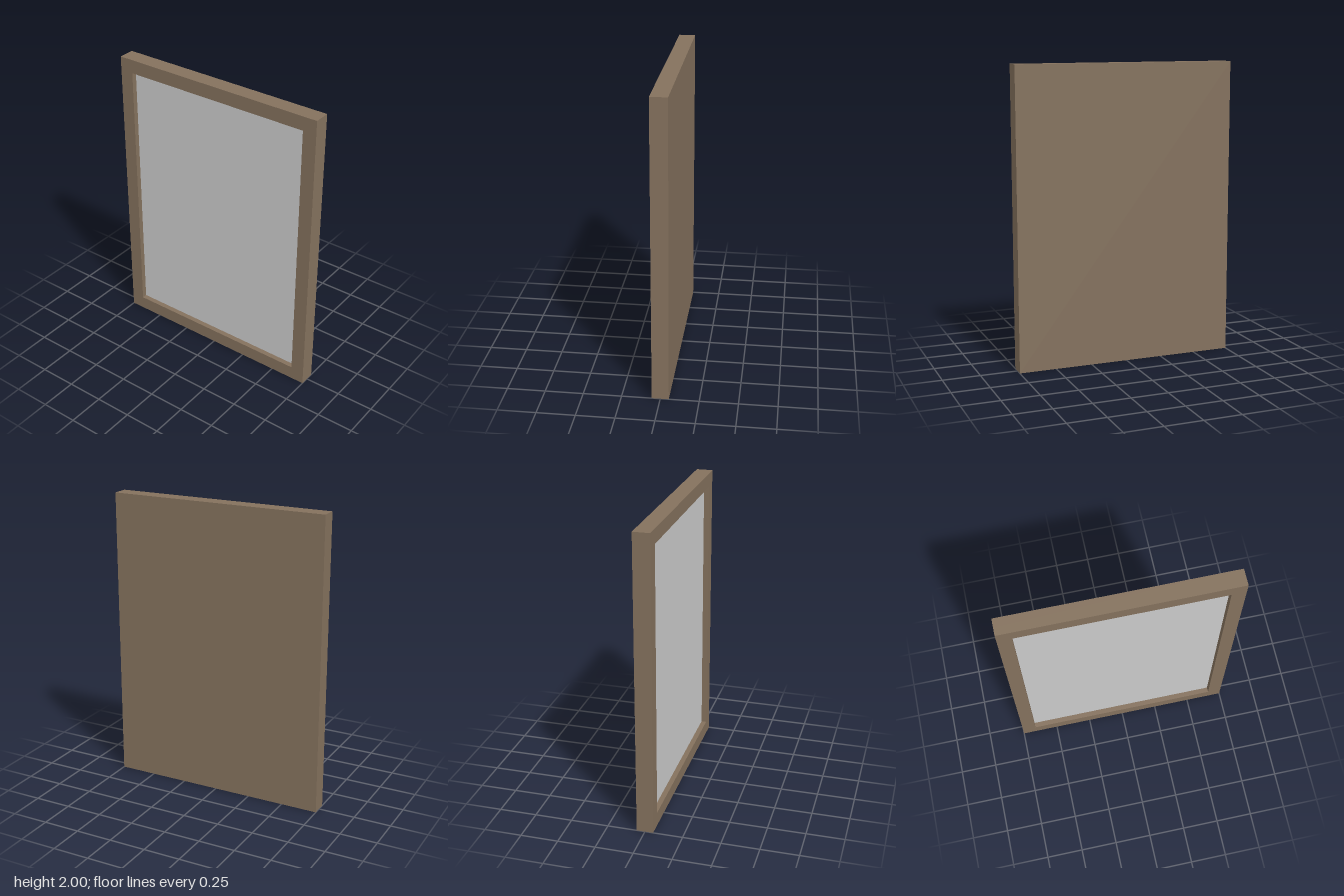
import * as THREE from 'three';

const W = 1.5, H = 2, D = 0.11, BORDER = 0.093, RECESS = 0.035, PANEL = 0.015;

export function createModel() {
  const group = new THREE.Group();
  const wood = new THREE.MeshStandardMaterial({ color: 0x84715d });
  const grey = new THREE.MeshStandardMaterial({ color: 0xcccccc });
  const innerW = W - 2 * BORDER, innerH = H - 2 * BORDER;
  const backDepth = D - RECESS - PANEL;

  const add = (name, geometry, material, y, z) => {
    const mesh = new THREE.Mesh(geometry, material);
    mesh.name = name;
    mesh.position.set(0, y, z);
    group.add(mesh);
  };

  const rectangle = (path, w, h) => path
    .moveTo(-w / 2, -h / 2).lineTo(w / 2, -h / 2)
    .lineTo(w / 2, h / 2).lineTo(-w / 2, h / 2).closePath();

  // Rectangular border with a window opening, standing in front of the back board
  const outline = rectangle(new THREE.Shape(), W, H);
  outline.holes.push(rectangle(new THREE.Path(), innerW, innerH));
  const border = new THREE.ExtrudeGeometry(outline, { depth: D - backDepth, bevelEnabled: false });
  add('frameBorder', border, wood, H / 2, -D / 2 + backDepth);

  // Solid board closing the back
  add('backBoard', new THREE.BoxGeometry(W, H, backDepth), wood, H / 2, -D / 2 + backDepth / 2);

  // Recessed panel inside the border
  add('panel', new THREE.BoxGeometry(innerW, innerH, PANEL), grey, H / 2, D / 2 - RECESS - PANEL / 2);

  return group;
}
